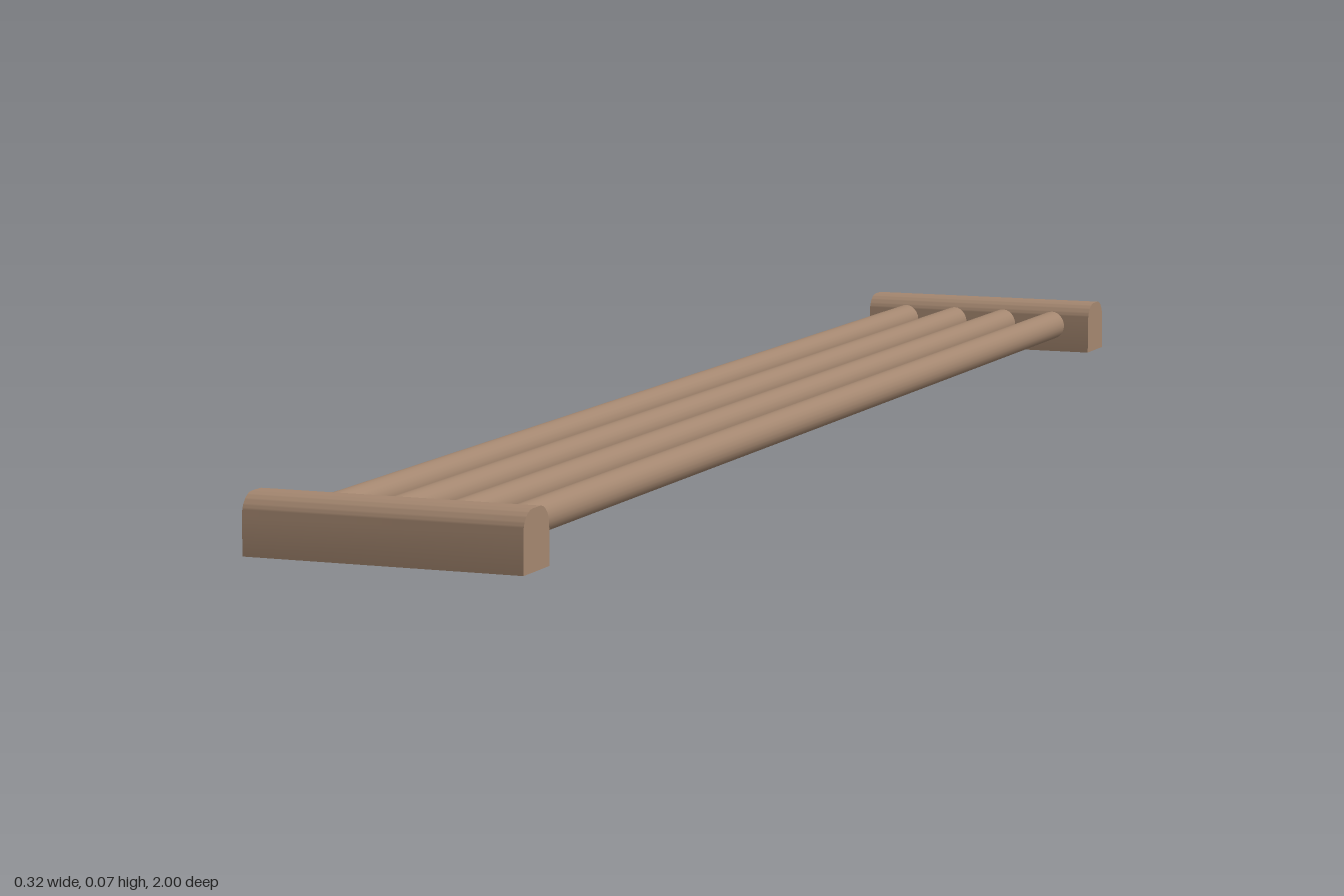
import * as THREE from 'three';
import { toCreasedNormals } from 'three/addons/utils/BufferGeometryUtils.js';

const RAIL = { length: 0.324, height: 0.067, depth: 0.066, round: 0.024 };
const ROD = { radius: 0.019, y: 0.036, spacing: 0.072, count: 4 };

// End block: flat base, rounded top edges, extruded along x
function railGeometry() {
  const { length, height: h, depth, round: r } = RAIL;
  const w = depth / 2;
  const profile = new THREE.Shape();
  profile.moveTo(-w, 0);
  profile.lineTo(w, 0);
  profile.lineTo(w, h - r);
  profile.absarc(w - r, h - r, r, 0, Math.PI / 2, false);
  profile.lineTo(-w + r, h);
  profile.absarc(-w + r, h - r, r, Math.PI / 2, Math.PI, false);
  profile.closePath();
  const geometry = new THREE.ExtrudeGeometry(profile, {
    depth: length, bevelEnabled: false, curveSegments: 8,
  });
  geometry.translate(0, 0, -length / 2);
  geometry.rotateY(Math.PI / 2);
  return toCreasedNormals(geometry, 0.6);
}

export function createModel() {
  const group = new THREE.Group();
  group.name = 'barRack';
  const wood = new THREE.MeshStandardMaterial({ color: 0xa3866f });
  wood.name = 'brown wood';

  // Front and back end rails
  const rail = railGeometry();
  for (const side of [1, -1]) {
    const mesh = new THREE.Mesh(rail, wood);
    mesh.name = side > 0 ? 'frontRail' : 'backRail';
    mesh.position.z = side * (1 - RAIL.depth / 2);
    group.add(mesh);
  }

  // Parallel round bars, seated inside the rails
  const bar = new THREE.CylinderGeometry(ROD.radius, ROD.radius, 2 - RAIL.depth, 24);
  bar.rotateX(Math.PI / 2);
  for (let i = 0; i < ROD.count; i++) {
    const mesh = new THREE.Mesh(bar, wood);
    mesh.name = `bar${i + 1}`;
    mesh.position.set((i - (ROD.count - 1) / 2) * ROD.spacing, ROD.y, 0);
    group.add(mesh);
  }
  return group;
}
